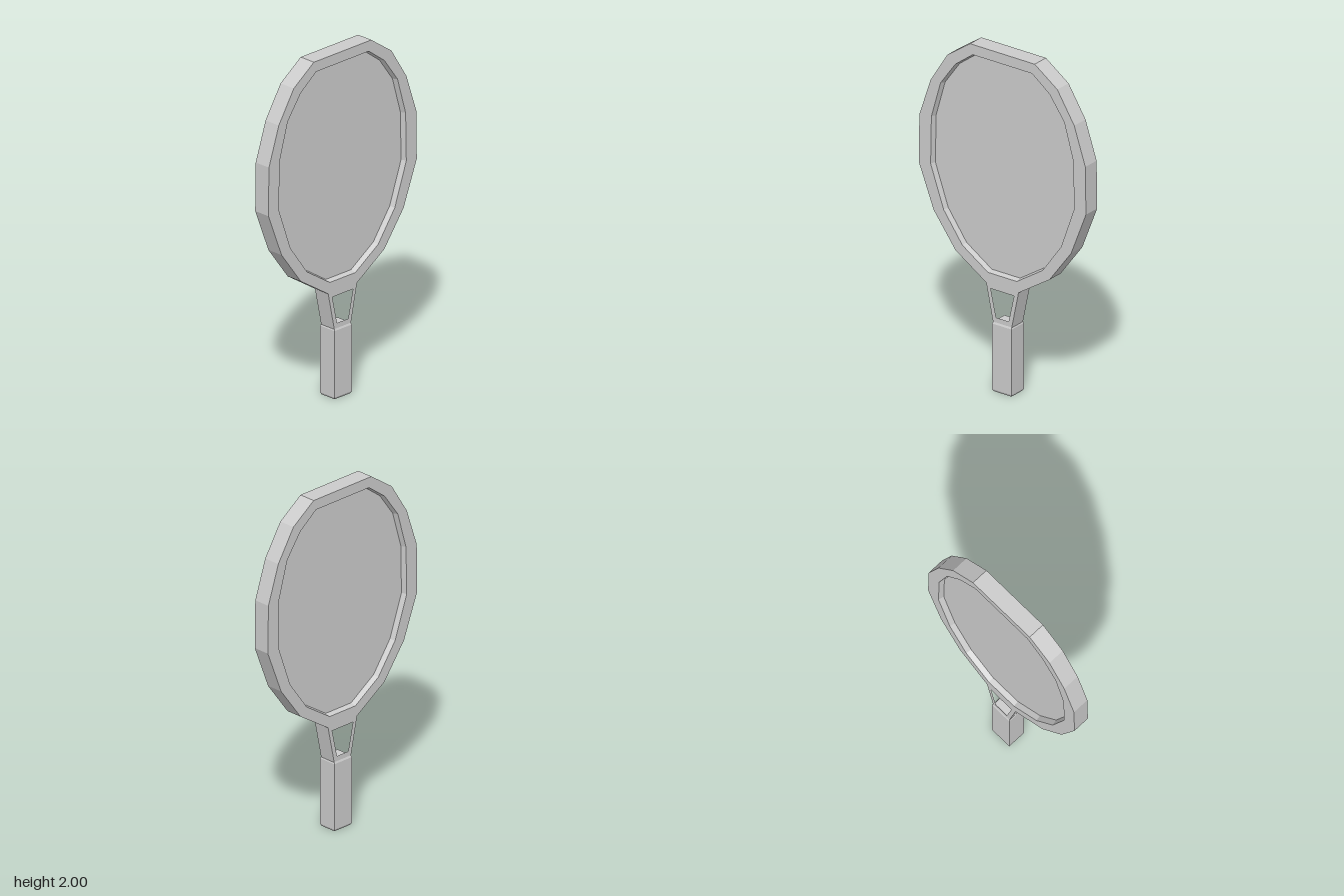
import * as THREE from 'three';

const material = new THREE.MeshStandardMaterial({ color: 0xcccccc, flatShading: true });

// Mirror a half outline of [z, y] points into a closed loop
const mirror = (half) => [...half, ...half.map(([z, y]) => [-z, y]).reverse()];
const toPoints = (loop) => loop.map(([z, y]) => new THREE.Vector2(z, y));

// Plate cut from a [z, y] outline, centred on x = 0
function plate(loop, thickness, hole) {
  const shape = new THREE.Shape(toPoints(loop));
  if (hole) shape.holes.push(new THREE.Path(toPoints(hole)));
  return new THREE.ExtrudeGeometry(shape, { depth: thickness, bevelEnabled: false })
    .translate(0, 0, -thickness / 2)
    .rotateY(-Math.PI / 2);
}

// Closed hoop swept through rings of { loop, x }
function hoop(rings) {
  const positions = [];
  rings.forEach((ring, i) => {
    const next = rings[(i + 1) % rings.length];
    ring.loop.forEach((p, j) => {
      const k = (j + 1) % ring.loop.length;
      const at = (r, n) => [r.x, r.loop[n][1], r.loop[n][0]];
      const [a, b, c, d] = [at(ring, j), at(ring, k), at(next, k), at(next, j)];
      positions.push(...a, ...b, ...c, ...a, ...c, ...d);
    });
  });
  const geometry = new THREE.BufferGeometry();
  geometry.setAttribute('position', new THREE.Float32BufferAttribute(positions, 3));
  geometry.computeVertexNormals();
  return geometry;
}

export function createModel() {
  const group = new THREE.Group();
  const add = (name, geometry) => {
    const mesh = new THREE.Mesh(geometry, material);
    mesh.name = name;
    group.add(mesh);
  };

  const outer = mirror([
    [0.216, 2.0], [0.367, 1.893], [0.48, 1.712], [0.554, 1.49],
    [0.558, 1.21], [0.459, 0.955], [0.314, 0.759], [0.108, 0.625],
  ]);
  const inner = mirror([
    [0.198, 1.94], [0.314, 1.852], [0.413, 1.714], [0.474, 1.5],
    [0.479, 1.22], [0.392, 0.974], [0.267, 0.8], [0.096, 0.688],
  ]);
  // Recess narrows slightly towards the string bed
  const floor = inner.map(([z, y]) => [z * 0.984, 1.314 + (y - 1.314) * 0.988]);

  // Head frame with a recess on both faces
  const half = 0.05, bed = 0.018;
  add('headFrame', hoop([
    { loop: outer, x: -half }, { loop: outer, x: half },
    { loop: inner, x: half }, { loop: floor, x: bed },
    { loop: floor, x: -bed }, { loop: inner, x: -half },
  ]));
  add('stringBed', plate(floor, bed * 2));

  // Open throat between head and handle
  add('throat', plate(
    mirror([[0.108, 0.625], [0.061, 0.4]]), half * 2,
    mirror([[0.078, 0.598], [0.042, 0.437]]),
  ));

  // Square grip with chamfered ends
  const grip = new THREE.Shape(toPoints(mirror([[0.049, 0.06], [0.049, -0.06]])));
  add('handle', new THREE.ExtrudeGeometry(grip, {
    depth: 0.386, bevelThickness: 0.012, bevelSize: 0.006, bevelSegments: 1,
  }).rotateX(-Math.PI / 2).translate(0, 0.012, 0));

  return group;
}
